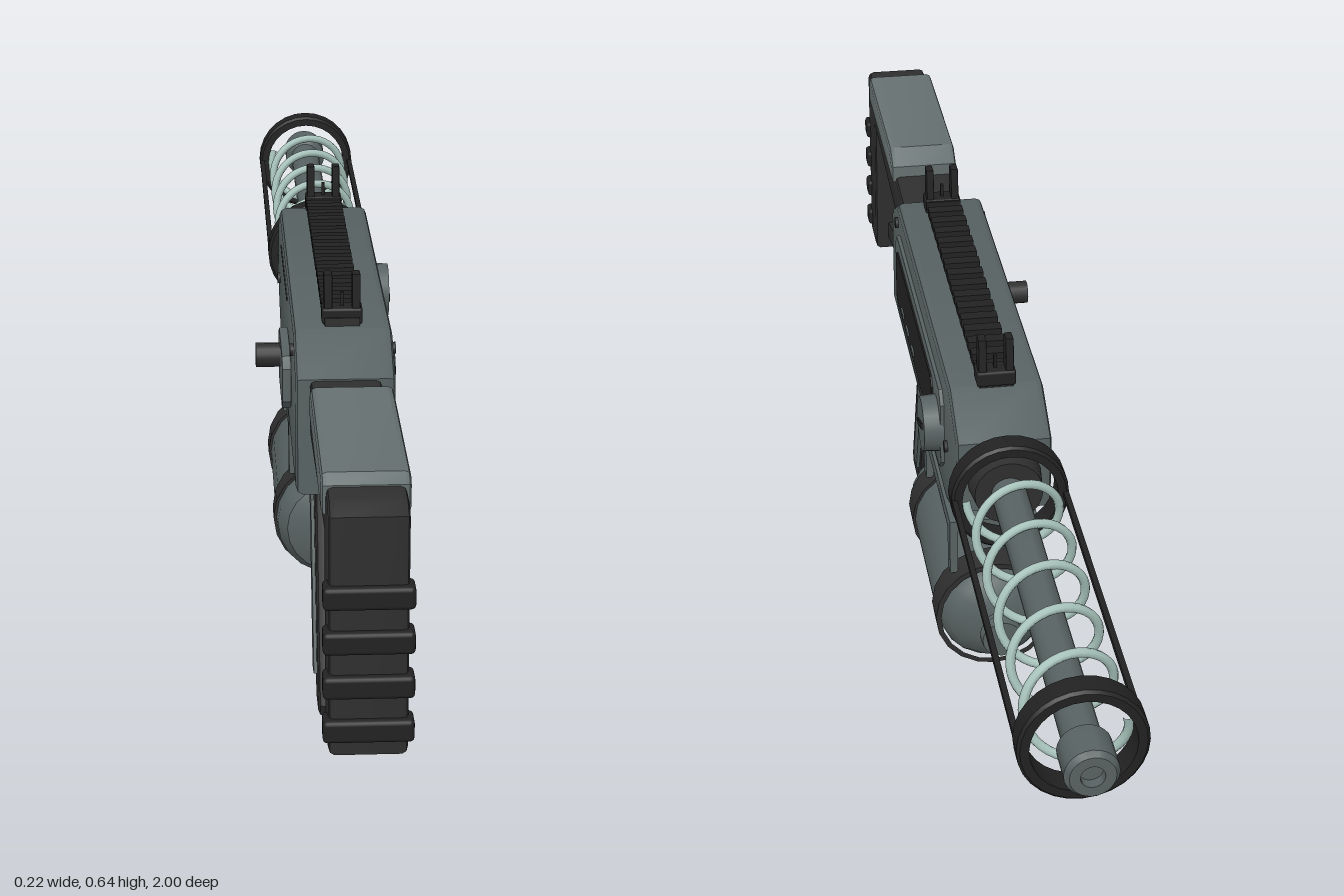
import * as THREE from 'three';
import { RoundedBoxGeometry } from 'three/addons/geometries/RoundedBoxGeometry.js';
import { toCreasedNormals } from 'three/addons/utils/BufferGeometryUtils.js';

const mat = (name, color) => new THREE.MeshStandardMaterial({ name, color });

export function createModel() {
  const steel = mat('grey steel', 0x586262);
  const lightSteel = mat('light grey', 0x667070);
  const dark = mat('dark polymer', 0x2f2f2f);
  const black = mat('black', 0x222222);
  const pale = mat('pale green metal', 0xa8c4bc);

  const model = new THREE.Group();
  const root = new THREE.Group();
  root.name = 'launcher';
  root.position.x = 0.008;
  model.add(root);

  const add = (name, geo, material, x = 0, y = 0, z = 0) => {
    const m = new THREE.Mesh(geo, material);
    m.name = name;
    m.position.set(x, y, z);
    root.add(m);
    return m;
  };
  const box = (name, material, w, h, d, x, y, z, r = 0) =>
    add(name, r ? new RoundedBoxGeometry(w, h, d, 2, r) : new THREE.BoxGeometry(w, h, d), material, x, y, z);

  // Side outline of [z, y] points, extruded across x and centred on cx
  const slab = (name, material, pts, width, bevel = 0.006, cx = 0, holes = []) => {
    const s = new THREE.Shape(pts.map(p => new THREE.Vector2(p[0], p[1])));
    for (const h of holes) s.holes.push(new THREE.Path(h.map(p => new THREE.Vector2(p[0], p[1]))));
    const depth = width - 2 * bevel;
    let g = new THREE.ExtrudeGeometry(s, {
      depth, bevelEnabled: bevel > 0, bevelSize: bevel, bevelThickness: bevel, bevelOffset: -bevel, bevelSegments: 2,
    });
    g.translate(0, 0, -depth / 2);
    g.rotateY(-Math.PI / 2);
    g = toCreasedNormals(g, 0.6);
    return add(name, g, material, cx);
  };
  const roundRect = (z0, z1, y0, y1, c) => [
    [z0 + c, y0], [z1 - c, y0], [z1, y0 + c], [z1, y1 - c], [z1 - c, y1], [z0 + c, y1], [z0, y1 - c], [z0, y0 + c]];

  // Solid turned along z from [radius, z] points
  const turned = (name, material, pts, y, seg = 24) => {
    const g = new THREE.LatheGeometry(pts.map(p => new THREE.Vector2(p[0], p[1])), seg);
    g.rotateX(Math.PI / 2);
    return add(name, toCreasedNormals(g, 0.6), material, 0, y, 0);
  };
  // Cylinder lying along x
  const xCyl = (name, material, r, len, x, y, z, seg = 24, r2 = r) => {
    const g = new THREE.CylinderGeometry(r, r2, len, seg);
    g.rotateZ(-Math.PI / 2);
    return add(name, g, material, x, y, z);
  };

  // Receiver
  slab('receiver', steel, [[0.465, 0.353], [0.465, 0.525], [0.385, 0.572], [-0.22, 0.572], [-0.305, 0.525],
    [-0.305, 0.41], [-0.19, 0.353]], 0.14, 0.01);

  // Display panel on the left side
  slab('panelFrame', steel, roundRect(-0.17, 0.37, 0.395, 0.53, 0.018), 0.008, 0.002, 0.072);
  slab('panelInset', black, roundRect(-0.09, 0.345, 0.418, 0.51, 0.012), 0.004, 0, 0.0765);
  for (const z of [0.255, 0.195, 0.13]) box('panelMark', lightSteel, 0.004, 0.007, 0.026, 0.079, 0.438, z);
  xCyl('dial', steel, 0.042, 0.03, 0.085, 0.46, -0.13, 24, 0.044);
  const slot = box('dialPointer', black, 0.005, 0.009, 0.05, 0.1, 0.46, -0.13);
  slot.rotation.x = 0.35;

  // Right side: selector plate, knob, groove and screws
  slab('selectorPlate', steel, roundRect(0.15, 0.31, 0.42, 0.5, 0.015), 0.014, 0.003, -0.077);
  xCyl('selectorKnob', dark, 0.018, 0.04, -0.1, 0.478, 0.225, 16);
  box('sideGroove', dark, 0.003, 0.004, 0.27, -0.0705, 0.54, 0.02);
  for (const s of [-1, 1]) for (const [y, z] of [[0.54, 0.38], [0.46, -0.2]])
    xCyl('screw', dark, 0.009, 0.006, s * 0.072, y, z, 12);

  // Top rail with teeth and two forked sights
  box('rail', dark, 0.05, 0.014, 0.6, 0, 0.577, 0.075);
  for (let i = 0; i < 16; i++) box('railTooth', black, 0.056, 0.014, 0.02, 0, 0.588, 0.345 - i * 0.036);
  for (const z of [0.355, -0.212]) {
    box('sightBase', black, 0.058, 0.024, 0.034, 0, 0.585, z, 0.004);
    for (const s of [-1, 1])
      slab('sightProng', black, [[z + 0.015, 0.59], [z + 0.012, 0.646], [z - 0.008, 0.646], [z - 0.015, 0.59]], 0.012, 0.002, s * 0.02);
    box('sightPin', black, 0.005, 0.03, 0.006, 0, 0.602, z);
  }

  // Stock, cheek pad, butt ridges and lower strut
  slab('stock', dark, [[0.44, 0.44], [0.44, 0.522], [0.91, 0.535], [0.925, 0.553], [0.965, 0.553], [0.99, 0.54],
    [0.99, 0.22], [0.91, 0.22], [0.886, 0.475], [0.6, 0.452]], 0.1, 0.008);
  slab('cheekPad', lightSteel, [[0.925, 0.515], [0.925, 0.555], [0.91, 0.567], [0.61, 0.567], [0.578, 0.545], [0.578, 0.515]], 0.112, 0.008);
  for (let i = 0; i < 4; i++) box('buttRidge', black, 0.114, 0.03, 0.035, 0, 0.255 + i * 0.06, 0.983, 0.006);
  slab('strut', steel, [[0.82, 0.262], [0.82, 0.292], [0.45, 0.4], [0.45, 0.368]], 0.045, 0.003);
  slab('strutSocket', dark, [[0.92, 0.236], [0.92, 0.27], [0.81, 0.298], [0.81, 0.26]], 0.055, 0.004);

  // Pistol grip with side inlays
  slab('grip', dark, [[0.36, 0.365], [0.275, 0.365], [0.285, 0.325], [0.4, 0.015], [0.415, 0.004], [0.475, 0.008], [0.487, 0.03]], 0.078, 0.009);
  for (const s of [-1, 1])
    slab('gripInlay', steel, [[0.335, 0.29], [0.3, 0.29], [0.395, 0.05], [0.43, 0.055]], 0.008, 0.002, s * 0.04);

  // Trigger and its guard
  const guard = new THREE.CurvePath();
  const gp = [[0.305, 0.285], [0.265, 0.243], [0.15, 0.243], [0.115, 0.29], [0.115, 0.355]];
  for (let i = 0; i < 4; i++)
    guard.add(new THREE.LineCurve3(new THREE.Vector3(0, gp[i][1], gp[i][0]), new THREE.Vector3(0, gp[i + 1][1], gp[i + 1][0])));
  add('triggerGuard', new THREE.TubeGeometry(guard, 32, 0.008, 8), steel);
  slab('trigger', dark, [[0.235, 0.36], [0.2, 0.36], [0.225, 0.31], [0.25, 0.27], [0.238, 0.268], [0.212, 0.31]].reverse(), 0.02, 0);
  slab('feedBlock', dark, [[0.21, 0.36], [0.09, 0.36], [0.09, 0.255], [0.13, 0.27]], 0.06, 0.004);

  // Tank with bands and valve
  turned('tank', steel, [[0, 0.16], [0.045, 0.16], [0.072, 0.148], [0.086, 0.125], [0.088, 0.1], [0.088, -0.185],
    [0.083, -0.213], [0.068, -0.235], [0.04, -0.25], [0, -0.25]].reverse(), 0.165, 20);
  for (const z of [0.08, -0.2])
    turned('tankBand', dark, [[0.084, z - 0.024], [0.092, z - 0.024], [0.092, z + 0.024], [0.084, z + 0.024]], 0.165, 20);
  turned('valve', steel, [[0, -0.292], [0.03, -0.292], [0.032, -0.275], [0.02, -0.272], [0.02, -0.24]], 0.165, 16);

  // Tank hanger: a frame on each side and mounts up to the receiver
  for (const s of [-1, 1])
    slab('hangerFrame', steel, [[0.095, 0.235], [0.095, 0.327], [-0.205, 0.327], [-0.205, 0.235], [-0.18, 0.235],
      [-0.18, 0.303], [0.07, 0.303], [0.07, 0.235]], 0.013, 0.002, s * 0.061);
  for (const z of [0.08, -0.19]) box('hangerCrossbar', steel, 0.13, 0.018, 0.026, 0, 0.317, z);
  for (const z of [0.06, -0.13]) box('hangerMount', steel, 0.05, 0.05, 0.05, 0, 0.335, z);

  // Barrel, muzzle, end rings and thin guide rods
  turned('barrel', steel, [[0, -0.95], [0.026, -0.95], [0.026, -0.29], [0, -0.29]], 0.462);
  turned('muzzle', steel, [[0, -0.985], [0.016, -0.985], [0.016, -1], [0.03, -1], [0.036, -0.992], [0.036, -0.94], [0.025, -0.93]], 0.462);
  turned('neck', dark, [[0, -0.345], [0.05, -0.345], [0.055, -0.3], [0, -0.3]], 0.462);
  for (const z of [-0.34, -0.92])
    turned('endRing', black, [[0.07, z - 0.019], [0.082, z - 0.019], [0.086, z - 0.015], [0.086, z + 0.015],
      [0.082, z + 0.019], [0.07, z + 0.019], [0.07, z - 0.019]], 0.462, 28);
  for (const s of [-1, 1]) box('guideRod', black, 0.008, 0.008, 0.57, s * 0.081, 0.462, -0.63);

  // Coil around the barrel
  const pts = [];
  for (let i = 0; i <= 132; i++) {
    const z = -0.35 - 0.56 * i / 132;
    const a = Math.PI / 2 + (z + 0.425) / 0.101 * Math.PI * 2;
    pts.push(new THREE.Vector3(Math.cos(a) * 0.064, 0.462 + Math.sin(a) * 0.064, z));
  }
  add('coil', new THREE.TubeGeometry(new THREE.CatmullRomCurve3(pts), 200, 0.0065, 8), pale);

  return model;
}
